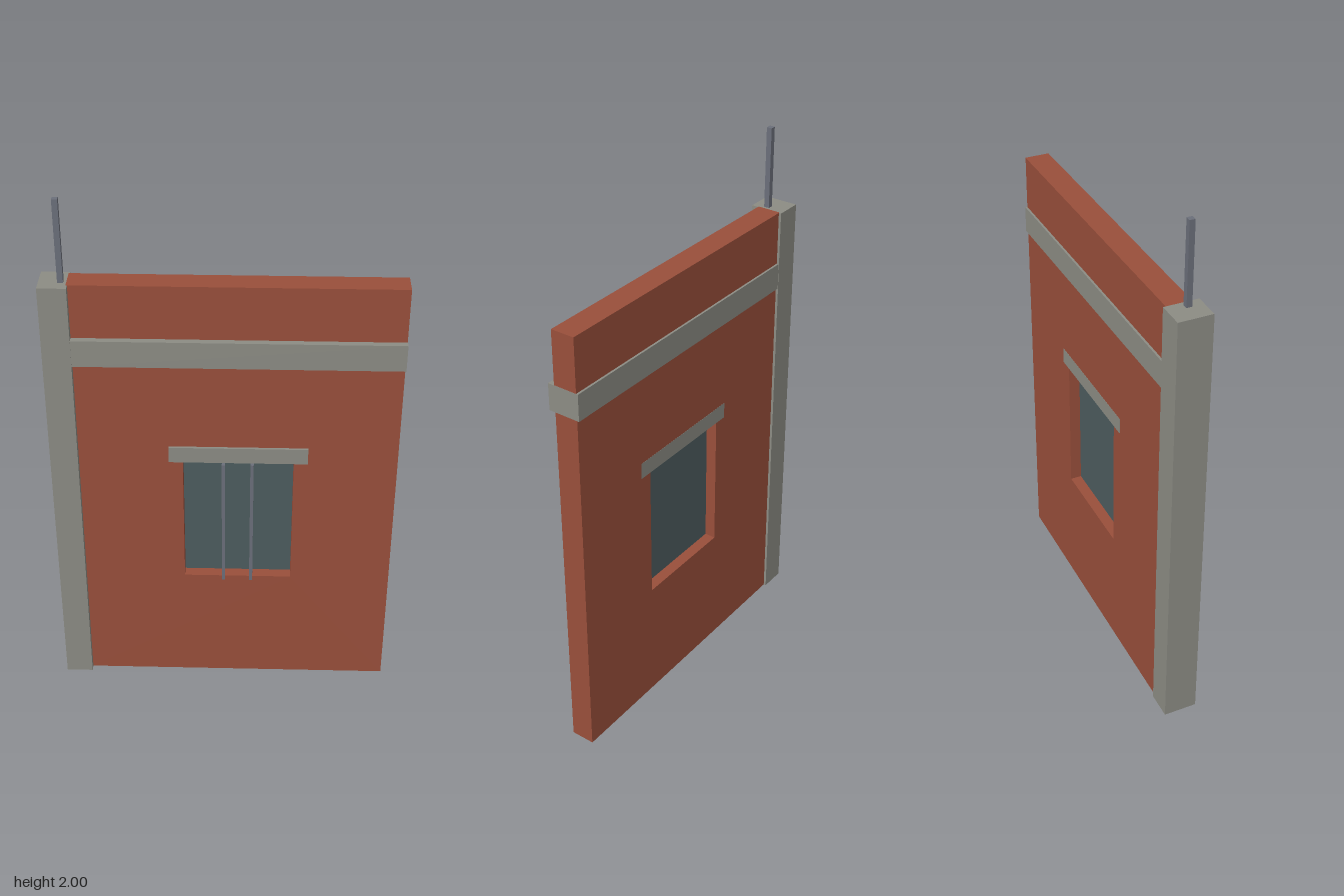
import * as THREE from 'three';

const material = (name, color) => {
  const m = new THREE.MeshStandardMaterial({ color });
  m.name = name;
  return m;
};

export function createModel() {
  const model = new THREE.Group();
  model.name = 'wallSection';

  const brick = material('brick red', 0x994f3b);
  const concrete = material('concrete grey', 0x8c8c84);
  const glass = material('window glass', 0x4d5c5f);
  const steel = material('steel', 0x6b6f7a);

  // Box given by its extents on each axis
  function box(name, mat, [x0, x1], [y0, y1], [z0, z1]) {
    const mesh = new THREE.Mesh(new THREE.BoxGeometry(x1 - x0, y1 - y0, z1 - z0), mat);
    mesh.position.set((x0 + x1) / 2, (y0 + y1) / 2, (z0 + z1) / 2);
    mesh.name = name;
    model.add(mesh);
  }

  // Brick wall with a window opening
  const back = -0.053, front = 0.037;
  const outline = new THREE.Shape();
  outline.moveTo(-0.53, 0).lineTo(0.622, 0).lineTo(0.622, 1.7).lineTo(-0.53, 1.7).closePath();
  const opening = new THREE.Path();
  opening.moveTo(-0.15, 0.475).lineTo(-0.15, 1.03).lineTo(0.25, 1.03).lineTo(0.25, 0.475).closePath();
  outline.holes.push(opening);
  const wall = new THREE.Mesh(
    new THREE.ExtrudeGeometry(outline, { depth: front - back, bevelEnabled: false }), brick);
  wall.position.z = back;
  wall.name = 'wall';
  model.add(wall);

  // Concrete frame: corner column and floor band
  box('column', concrete, [-0.625, -0.525], [0, 1.7], [-0.0625, 0.0625]);
  box('floorBand', concrete, [-0.525, 0.623], [1.4, 1.5], [-0.061, 0.061]);

  // Window: lintel, pane in the middle of the wall and two bars in front
  box('lintel', concrete, [-0.2, 0.3], [1.0, 1.062], [back - 0.0005, 0.047]);
  box('windowPane', glass, [-0.15, 0.25], [0.475, 1.0], [-0.011, -0.005]);
  for (const x of [-0.003, 0.1])
    box('windowBar', steel, [x - 0.006, x + 0.006], [0.475, 1.0], [0.046, 0.061]);

  // Reinforcing rod rising from the column
  box('rod', steel, [-0.56, -0.54], [1.6, 2], [0, 0.02]);

  return model;
}
